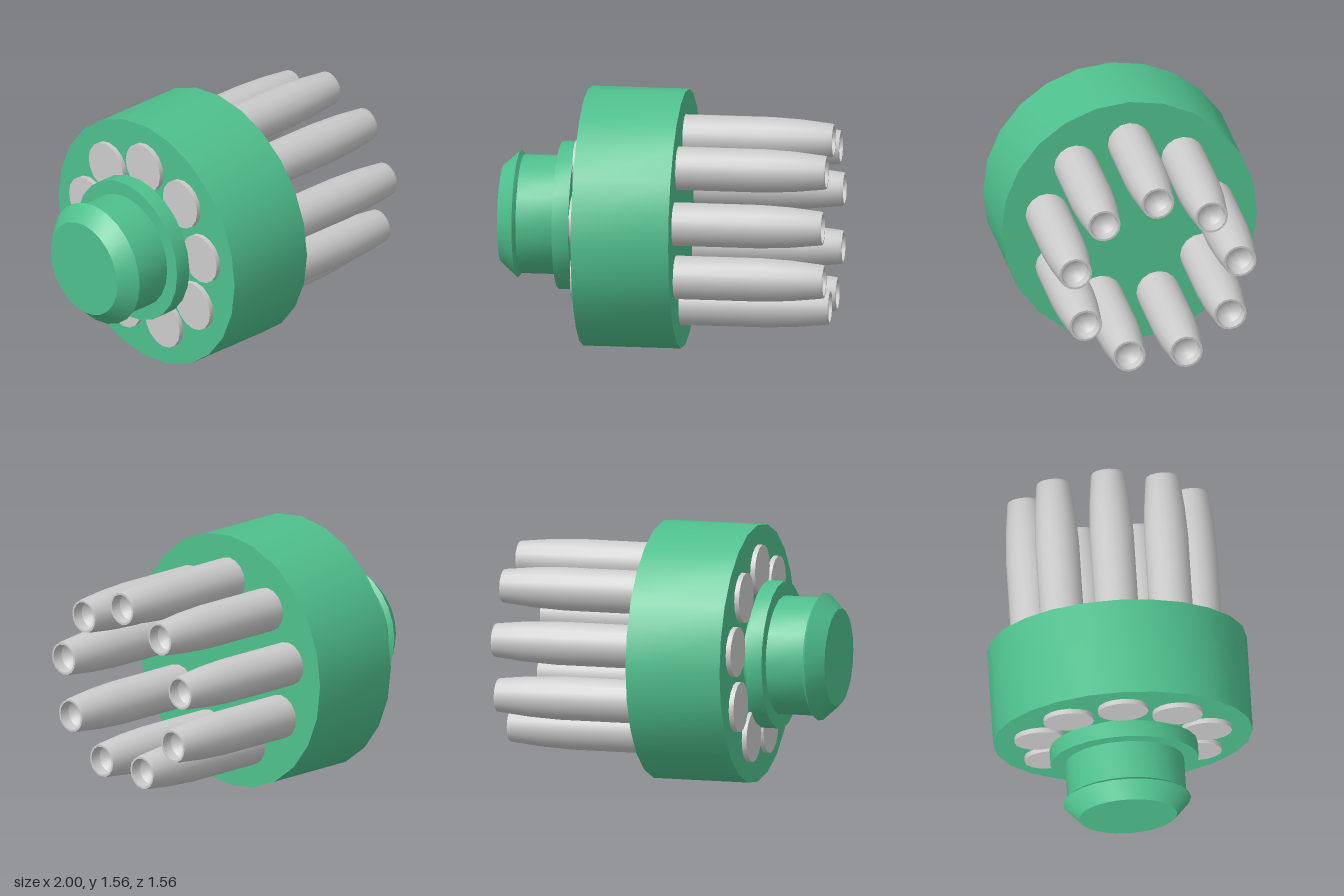
import * as THREE from 'three';
import { toCreasedNormals } from 'three/addons/utils/BufferGeometryUtils.js';

const AXIS_Y = 0.783;

// Solid of revolution around the x axis from [x, radius] pairs, ordered from -x to +x
function turned(name, profile, sides, material) {
  const points = profile.map(([x, r]) => new THREE.Vector2(r, x));
  const geometry = new THREE.LatheGeometry(points, sides);
  geometry.rotateZ(-Math.PI / 2);
  const mesh = new THREE.Mesh(toCreasedNormals(geometry, 0.65), material);
  mesh.name = name;
  return mesh;
}

export function createModel() {
  const model = new THREE.Group();
  model.name = 'cartridgeHolder';
  const green = new THREE.MeshStandardMaterial({ color: 0x4fc08d });
  const grey = new THREE.MeshStandardMaterial({ color: 0xcccccc });

  // Drum that holds the rounds
  const drum = turned('drum', [[-0.49, 0], [-0.49, 0.78], [0.1, 0.78], [0.1, 0]], 24, green);

  // Knob with bevelled end, grip, flange and neck
  const knob = turned('knob', [
    [-1, 0], [-1, 0.295], [-0.9, 0.385], [-0.88, 0.357], [-0.65, 0.357],
    [-0.65, 0.445], [-0.55, 0.445], [-0.55, 0.295], [-0.48, 0.295],
  ], 24, green);
  for (const part of [drum, knob]) {
    part.position.y = AXIS_Y;
    model.add(part);
  }

  // Nine rounds: base rim, straight case, tapered tip with a hollow end
  const roundProfile = [
    [-0.52, 0], [-0.52, 0.152], [-0.48, 0.152], [-0.48, 0.132], [0.62, 0.132],
    [0.8, 0.123], [0.98, 0.104], [1, 0.1], [1, 0.087], [0.94, 0.08], [0.91, 0.05], [0.9, 0],
  ];
  const count = 9;
  for (let i = 0; i < count; i++) {
    const a = (i / count) * Math.PI * 2;
    const round = turned('round' + (i + 1), roundProfile, 16, grey);
    round.position.set(0, AXIS_Y + 0.51 * Math.cos(a), 0.51 * Math.sin(a));
    model.add(round);
  }
  return model;
}
